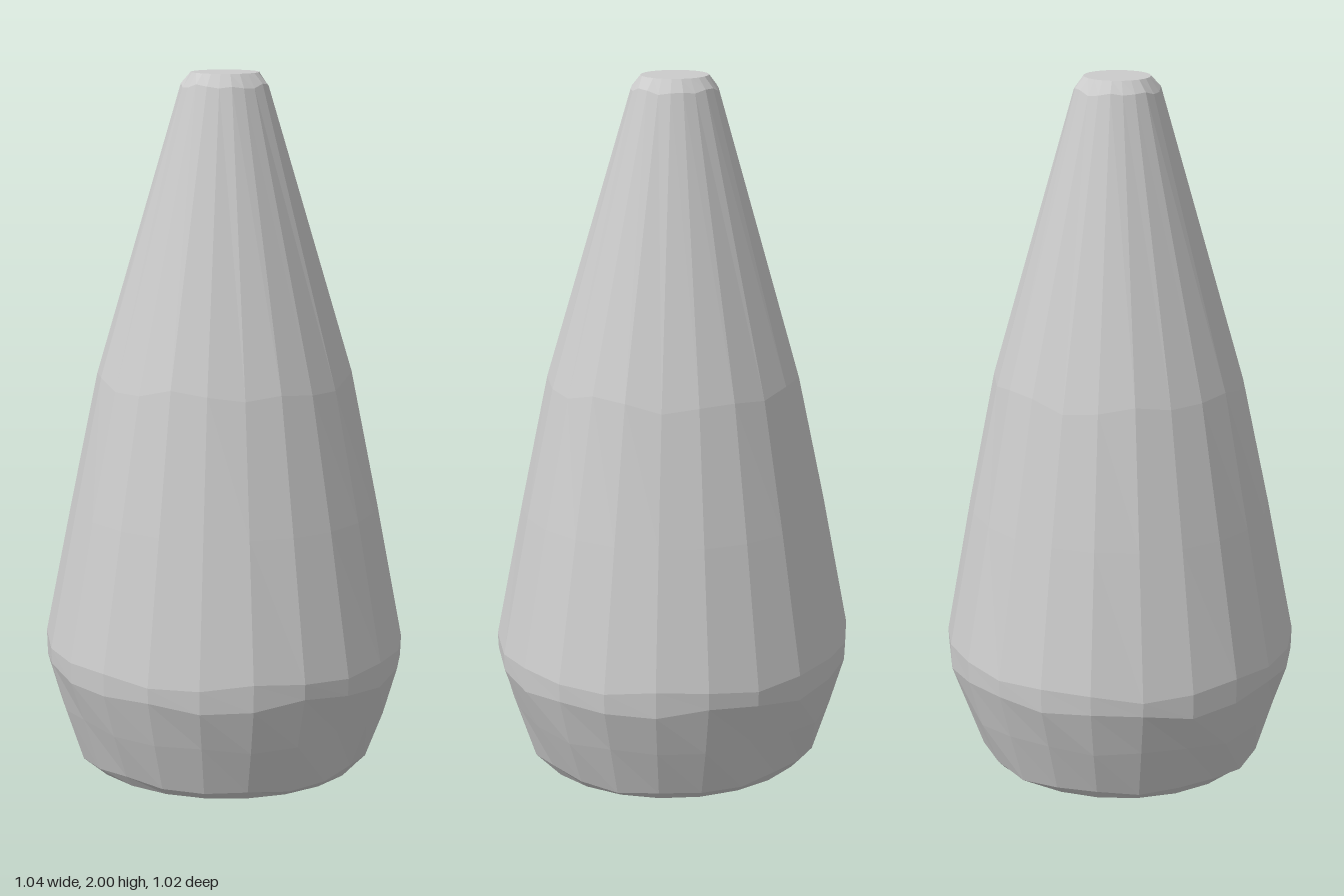
import * as THREE from 'three';

export function createModel() {
  const group = new THREE.Group();
  const sides = 22;

  // Rings from base to tip: radius, height, amount of uneven height
  const rings = [
    [0, 0, 0],
    [0.4, 0, 0],
    [0.425, 0.025, 0.012],
    [0.475, 0.17, 0.015],
    [0.515, 0.3, 0.018],
    [0.517, 0.36, 0.014],
    [0.44, 0.76, 0],
    [0.362, 1.14, 0.02],
    [0.122, 1.965, 0.008],
    [0.095, 2, 0],
    [0, 2, 0],
  ];
  const geometry = new THREE.LatheGeometry(rings.map(([r, y]) => new THREE.Vector2(r, y)), sides);

  // Hand-cut facets: uneven ring heights and a slightly oval section
  const pos = geometry.attributes.position;
  for (let i = 0; i < pos.count; i++) {
    const ring = i % rings.length;
    const column = Math.floor(i / rings.length) % sides;
    const a = (column / sides) * Math.PI * 2;
    const wave = 0.6 * Math.sin(7 * a + ring * 2) + 0.4 * Math.sin(4 * a + ring);
    const y = pos.getY(i) + wave * rings[ring][2];
    pos.setXYZ(i, pos.getX(i) * 1.015, y, pos.getZ(i) * 0.985 - 0.004 * y);
  }

  const body = new THREE.Mesh(
    geometry,
    new THREE.MeshStandardMaterial({ color: 0xcccccc, flatShading: true })
  );
  body.name = 'taperedBody';
  group.add(body);
  return group;
}
